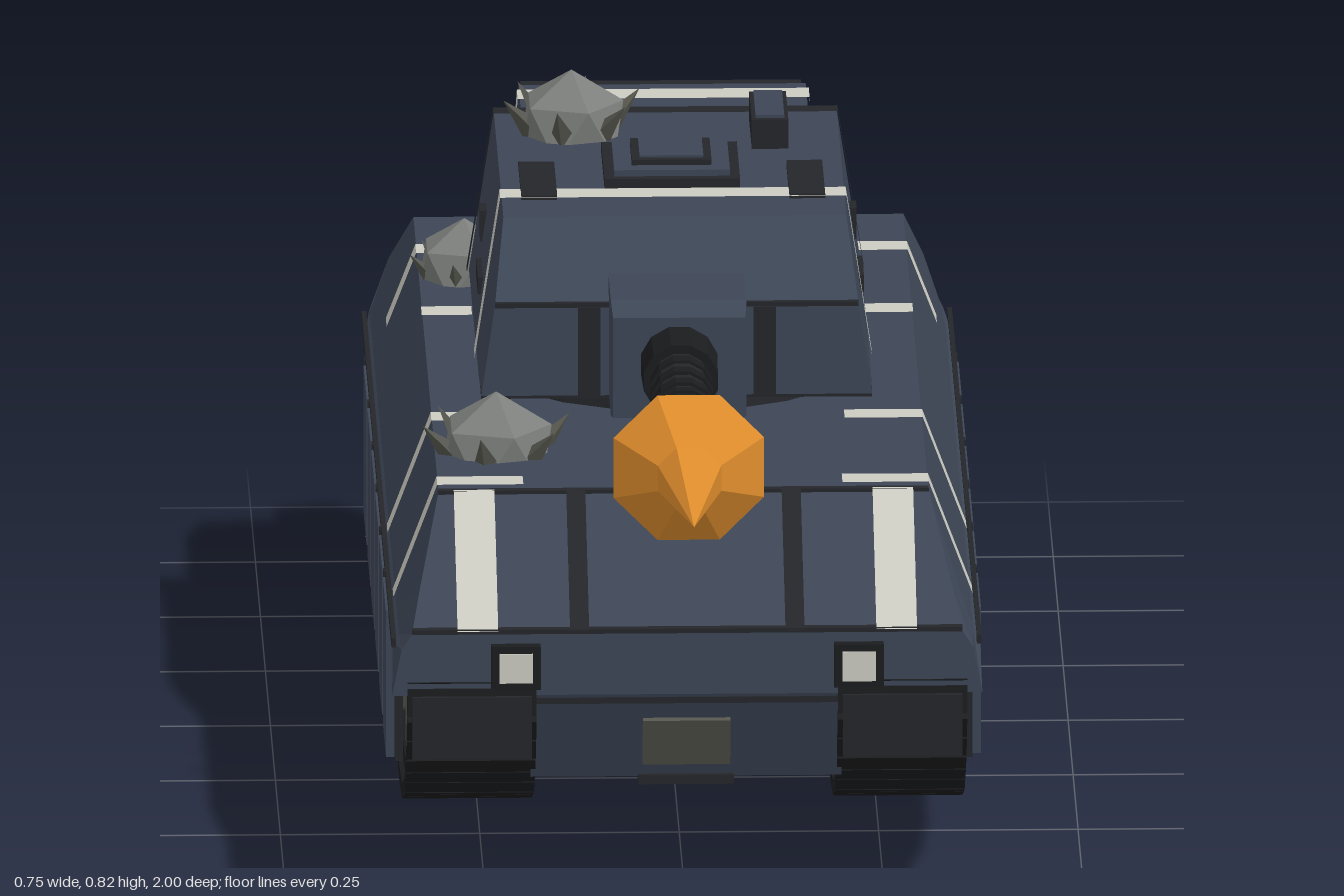
import * as THREE from 'three';

const mat = (name, color) => new THREE.MeshStandardMaterial({ name, color, flatShading: true, side: THREE.DoubleSide });
const M = {
  navy: mat('navy armour', 0x3d4656), deep: mat('deep blue crystal', 0x333e50),
  black: mat('black rubber', 0x1b1c1e), trim: mat('dark trim', 0x24262a),
  white: mat('off white paint', 0xcbcbc1), orange: mat('orange', 0xe08e2d),
  tan: mat('tan stone', 0xa88e64), rock: mat('grey stone', 0x7c7f7b),
  steel: mat('steel', 0x83878a), plate: mat('dull plate', 0x56564f),
};

export function createModel() {
  const root = new THREE.Group();
  root.name = 'tank';
  const add = (name, geo, m, x = 0, y = 0, z = 0) => {
    const mesh = new THREE.Mesh(geo, m);
    mesh.name = name;
    mesh.position.set(x, y, z);
    root.add(mesh);
    return mesh;
  };
  const box = (name, m, w, h, d, x, y, z) => add(name, new THREE.BoxGeometry(w, h, d), m, x, y, z);
  // cylinder lying along z, flat side up
  const tube = (name, m, rFront, rBack, z0, z1, y, n = 8) =>
    add(name, new THREE.CylinderGeometry(rFront, rBack, z1 - z0, n).rotateY(Math.PI / n).rotateX(Math.PI / 2), m, 0, y, (z0 + z1) / 2);
  const wheel = (name, m, r, w, x, y, z, n = 12) =>
    add(name, new THREE.CylinderGeometry(r, r, w, n).rotateZ(Math.PI / 2), m, x, y, z);
  const facets = (p) => {
    const g = new THREE.BufferGeometry();
    g.setAttribute('position', new THREE.Float32BufferAttribute(p, 3));
    g.computeVertexNormals();
    return g;
  };
  // solid through mirrored cross-sections, front to back; each is [z, [halfWidth, y] from bottom to top]
  const loft = (name, m, sections) => {
    const rings = sections.map(([z, ...pts]) => [
      [-pts[0][0], pts[0][1], z], ...pts.map(([x, y]) => [x, y, z]),
      ...pts.slice(1).reverse().map(([x, y]) => [-x, y, z])]);
    const p = [], n = rings[0].length, tri = (...c) => c.forEach((v) => p.push(...v));
    for (let k = 0; k < rings.length - 1; k++) for (let i = 0; i < n; i++) {
      const j = (i + 1) % n, f = rings[k], b = rings[k + 1];
      tri(f[i], b[i], b[j]);
      tri(f[i], b[j], f[j]);
    }
    const f = rings[0], b = rings[rings.length - 1];
    for (let i = 1; i < n - 1; i++) { tri(f[0], f[i], f[i + 1]); tri(b[0], b[i + 1], b[i]); }
    return add(name, facets(p), m);
  };
  // painted band between two matching lines of points
  const ribbon = (name, m, a, b) => {
    const p = [];
    for (let i = 0; i < a.length - 1; i++) [a[i], b[i], b[i + 1], a[i], b[i + 1], a[i + 1]].forEach((v) => p.push(...v));
    return add(name, facets(p), m);
  };
  const bandZ = (name, m, pts, z0, z1) => ribbon(name, m, pts.map(([x, y]) => [x, y, z0]), pts.map(([x, y]) => [x, y, z1]));
  const bandX = (name, m, pts, x0, x1) => ribbon(name, m, pts.map(([z, y]) => [x0, y, z]), pts.map(([z, y]) => [x1, y, z]));
  // side profile [z, y] extruded across x
  const slab = (name, m, pts, w, x, hole) => {
    const s = new THREE.Shape(pts.map(([z, y]) => new THREE.Vector2(z, y)));
    if (hole) s.holes.push(new THREE.Path(hole.map(([z, y]) => new THREE.Vector2(z, y))));
    return add(name, new THREE.ExtrudeGeometry(s, { depth: w, bevelEnabled: false }).rotateY(-Math.PI / 2).translate(w / 2, 0, 0), m, x);
  };

  // hull
  loft('upperHull', M.navy, [
    [0.655, [0.37, 0.295], [0.358, 0.355], [0.345, 0.375]],
    [0.6, [0.368, 0.35], [0.36, 0.36], [0.335, 0.412]],
    [0.46, [0.368, 0.35], [0.36, 0.36], [0.307, 0.505]],
    [-0.8, [0.368, 0.35], [0.36, 0.36], [0.307, 0.505]],
    [-0.915, [0.36, 0.35], [0.355, 0.36], [0.335, 0.42]]]);
  slab('lowerHull', M.navy, [[0.645, 0.3], [0.59, 0.17], [-0.76, 0.17], [-0.89, 0.24], [-0.905, 0.36], [0.6, 0.36]], 0.39, 0);
  loft('engineDeck', M.navy, [
    [-0.6, [0.2, 0.48], [0.185, 0.52]], [-0.845, [0.2, 0.48], [0.185, 0.52]], [-0.92, [0.2, 0.36], [0.185, 0.42]]]);
  box('glacisTrim', M.trim, 0.69, 0.006, 0.012, 0, 0.378, 0.652);
  box('deckTrim', M.trim, 0.615, 0.006, 0.012, 0, 0.504, 0.458);
  box('noseTrim', M.trim, 0.4, 0.008, 0.01, 0, 0.283, 0.636);
  const nosePlate = box('nosePlate', M.plate, 0.11, 0.07, 0.008, 0, 0.223, 0.615);
  nosePlate.rotation.x = 0.4;
  box('towBar', M.trim, 0.12, 0.012, 0.03, 0, 0.168, 0.585);
  box('deckLamp', M.white, 0.13, 0.026, 0.03, 0, 0.497, 0.475);
  box('deckLampSlot', M.black, 0.095, 0.013, 0.008, 0, 0.497, 0.488);
  add('bellyHatch', new THREE.CylinderGeometry(0.05, 0.05, 0.01, 10), M.plate, 0, 0.167, -0.05);
  box('rearStripe', M.white, 0.04, 0.1, 0.008, 0, 0.37, -0.918);
  box('rearHandle', M.trim, 0.08, 0.014, 0.016, 0, 0.385, -0.92);

  // track path, front top and round to the rear
  const path = [[0.59, 0.342], [0.648, 0.315], [0.652, 0.265], [0.605, 0.2], [0.52, 0.14], [0.4, 0.098], [0.25, 0.08],
    [-0.7, 0.08], [-0.79, 0.108], [-0.85, 0.18], [-0.893, 0.27], [-0.88, 0.325], [-0.82, 0.345]];
  const inner = path.map(([z, y]) => {
    const dz = THREE.MathUtils.clamp(z, -0.75, 0.5) - z, dy = 0.23 - y, l = Math.hypot(dz, dy);
    return [z + dz / l * 0.03, y + dy / l * 0.03];
  });
  const curve = new THREE.CurvePath();
  for (let i = 0; i < path.length - 1; i++)
    curve.add(new THREE.LineCurve(new THREE.Vector2(...path[i]), new THREE.Vector2(...path[i + 1])));
  const pads = curve.getSpacedPoints(52);

  for (const s of [-1, 1]) {
    // running gear
    slab('trackBand', M.black, path, 0.15, s * 0.27, inner);
    for (let i = 0; i < 52; i++) {
      const a = pads[i], b = pads[i + 1];
      box('trackPad', M.black, 0.162, 0.02, 0.035, s * 0.27, (a.y + b.y) / 2, (a.x + b.x) / 2)
        .rotation.x = -Math.atan2(b.y - a.y, b.x - a.x);
    }
    for (const z of [0.57, -0.835]) {
      wheel('endWheel', M.trim, 0.07, 0.13, s * 0.27, 0.26, z);
      wheel('endWheelHub', M.plate, 0.03, 0.16, s * 0.27, 0.262, z, 8);
    }
    for (let i = 0; i < 7; i++) {
      const z = 0.36 - i * 0.194;
      wheel('roadWheel', M.trim, 0.085, 0.12, s * 0.27, 0.185, z);
      wheel('roadWheelHub', M.plate, 0.032, 0.15, s * 0.27, 0.17, z, 8);
    }
    // side skirts
    box('skirtBacking', M.trim, 0.01, 0.195, 1.17, s * 0.357, 0.255, -0.115);
    for (let i = 0; i < 6; i++) {
      const z = 0.385 - i * 0.194;
      box('skirtPanel', M.navy, 0.014, 0.19, 0.155, s * 0.366, 0.256, z);
      box('skirtStrap', M.trim, 0.016, 0.21, 0.016, s * 0.364, 0.25, z - 0.097);
    }
    box('sideTrim', M.trim, 0.006, 0.012, 1.5, s * 0.367, 0.354, -0.13);
    box('mudguard', M.trim, 0.15, 0.08, 0.02, s * 0.27, 0.255, 0.655);
    box('rearMudguard', M.trim, 0.15, 0.08, 0.02, s * 0.27, 0.3, -0.905);

    // lamps and hooks
    box('headlightFrame', M.black, 0.062, 0.056, 0.03, s * 0.215, 0.334, 0.655);
    box('headlight', M.white, 0.042, 0.038, 0.008, s * 0.215, 0.334, 0.669);
    box('tailLightFrame', M.black, 0.07, 0.045, 0.04, s * 0.26, 0.395, -0.91);
    box('tailLight', M.orange, 0.05, 0.026, 0.008, s * 0.26, 0.395, -0.93);
    wheel('towHook', M.steel, 0.015, 0.02, s * 0.1, 0.28, -0.9, 8);

    // hull paint
    const side = (x0) => [[s * x0, 0.508], [s * 0.308, 0.508], [s * 0.363, 0.362]];
    bandZ('hullStripe', M.white, side(0.2), 0.4, 0.438);
    bandZ('hullStripe', M.white, side(0.21), 0.105, 0.143);
    bandZ('hullStripe', M.white, side(0.245).slice(0, 2), -0.38, -0.34);
    bandZ('hullStripe', M.white, [[s * 0.19, 0.508], [s * 0.308, 0.508], [s * 0.345, 0.412]], -0.665, -0.625);
    bandX('fenderStripe', M.white, [[-0.822, 0.492], [-0.87, 0.458]], s * 0.2, s * 0.265);
    const glacis = [[0.462, 0.508], [0.604, 0.416], [0.659, 0.379]];
    bandX('glacisStripe', M.white, glacis, s * 0.237, s * 0.288);
    bandX('glacisStrip', M.trim, glacis, s * 0.123, s * 0.147);

    // turret paint and fittings
    box('cheekStrip', M.trim, 0.028, 0.115, 0.008, s * 0.11, 0.593, 0.13);
    box('roofStrip', M.trim, 0.045, 0.008, 0.155, s * 0.168, 0.742, -0.125);
    bandZ('turretStripe', M.white, [[0, 0.744], [s * 0.217, 0.744], [s * 0.249, 0.536]], -0.085, -0.045);
    bandZ('turretEdge', M.trim, [[0, 0.743], [s * 0.216, 0.743], [s * 0.249, 0.536]], -0.462, -0.435);
    bandZ('bustleStripe', M.white, [[0, 0.734], [s * 0.183, 0.734], [s * 0.195, 0.56]], -0.575, -0.532);
    box('sideSlot', M.trim, 0.01, 0.022, 0.09, s * 0.237, 0.595, -0.21);
    box('sidePort', M.trim, 0.01, 0.04, 0.036, s * 0.231, 0.637, -0.31);
  }

  // turret
  add('turretRing', new THREE.CylinderGeometry(0.235, 0.24, 0.04, 20), M.trim, 0, 0.52, -0.14);
  loft('turret', M.navy, [
    [0.128, [0.245, 0.535], [0.228, 0.652]], [0.03, [0.246, 0.535], [0.215, 0.74]], [-0.455, [0.246, 0.535], [0.215, 0.74]]]);
  box('browTrim', M.trim, 0.456, 0.006, 0.01, 0, 0.653, 0.126);
  box('baseTrim', M.trim, 0.49, 0.01, 0.57, 0, 0.534, -0.165);
  loft('bustle', M.navy, [[-0.45, [0.192, 0.56], [0.18, 0.73]], [-0.61, [0.192, 0.56], [0.18, 0.73]]]);
  box('rearBasket', M.black, 0.34, 0.135, 0.075, 0, 0.645, -0.645);
  for (let i = 0; i < 5; i++) box('basketSlat', M.trim, 0.352, 0.016, 0.085, 0, 0.585 + i * 0.03, -0.645);
  box('hatchFrame', M.trim, 0.17, 0.014, 0.17, 0, 0.746, -0.18);
  box('hatch', M.navy, 0.145, 0.018, 0.145, 0, 0.752, -0.18);
  box('hatchRim', M.trim, 0.1, 0.012, 0.1, 0, 0.762, -0.18);
  box('hatchLid', M.navy, 0.08, 0.014, 0.08, 0, 0.764, -0.18);
  box('periscope', M.trim, 0.046, 0.04, 0.13, 0.127, 0.758, -0.34);
  box('periscopeTop', M.navy, 0.036, 0.006, 0.115, 0.127, 0.779, -0.34);

  // gun
  loft('mantlet', M.navy, [[0.25, [0.083, 0.54], [0.083, 0.67]], [0.22, [0.085, 0.535], [0.085, 0.685]], [0.1, [0.085, 0.535], [0.085, 0.685]]]);
  tube('barrelSleeve', M.black, 0.048, 0.05, 0.24, 0.33, 0.61, 12);
  tube('barrel', M.trim, 0.035, 0.037, 0.32, 0.49, 0.61, 12);
  for (const z of [0.36, 0.41, 0.46]) tube('barrelRib', M.black, 0.04, 0.04, z - 0.012, z + 0.012, 0.61, 12);
  for (const z of [0.51, 0.54, 0.575, 0.6]) tube('coilRing', M.black, 0.043, 0.043, z - 0.008, z + 0.008, 0.61, 12);
  tube('muzzle', M.steel, 0.055, 0.055, 0.618, 0.728, 0.61);
  tube('spikeFlare', M.orange, 0.043, 0.102, 0.725, 0.775, 0.61);
  tube('spike', M.orange, 0, 0.043, 0.775, 1, 0.61);

  // stones: corner-up icosahedra, some with a ring of claws
  const stone = (name, m, r, x, y, z) => add(name, new THREE.IcosahedronGeometry(r).rotateZ(-0.5536), m, x, y, z);
  const claws = (r, x, y, z) => {
    for (let i = 0; i < 6; i++) {
      const a = i * Math.PI / 3 + 0.3, c = new THREE.ConeGeometry(0.018, 0.065, 4).rotateZ(-0.75).rotateY(a);
      add('claw', c, M.plate, x + r * Math.cos(a), y, z - r * Math.sin(a));
    }
  };
  for (const x of [-0.27, 0.27]) stone('tanStone', M.tan, 0.106, x, 0.106, -0.908);
  stone('roofStone', M.rock, 0.073, -0.12, 0.748, -0.36);
  claws(0.068, -0.12, 0.765, -0.36);
  stone('deckStone', M.rock, 0.078, -0.23, 0.502, 0.265);
  claws(0.075, -0.23, 0.52, 0.265);
  stone('sideStone', M.rock, 0.065, -0.25, 0.515, -0.53);
  claws(0.05, -0.25, 0.515, -0.53);
  stone('rearStone', M.rock, 0.07, -0.1, 0.55, -0.84);
  stone('rearStone', M.rock, 0.07, 0.1, 0.55, -0.84);
  stone('blueStone', M.deep, 0.095, 0, 0.57, -0.76);

  return root;
}
